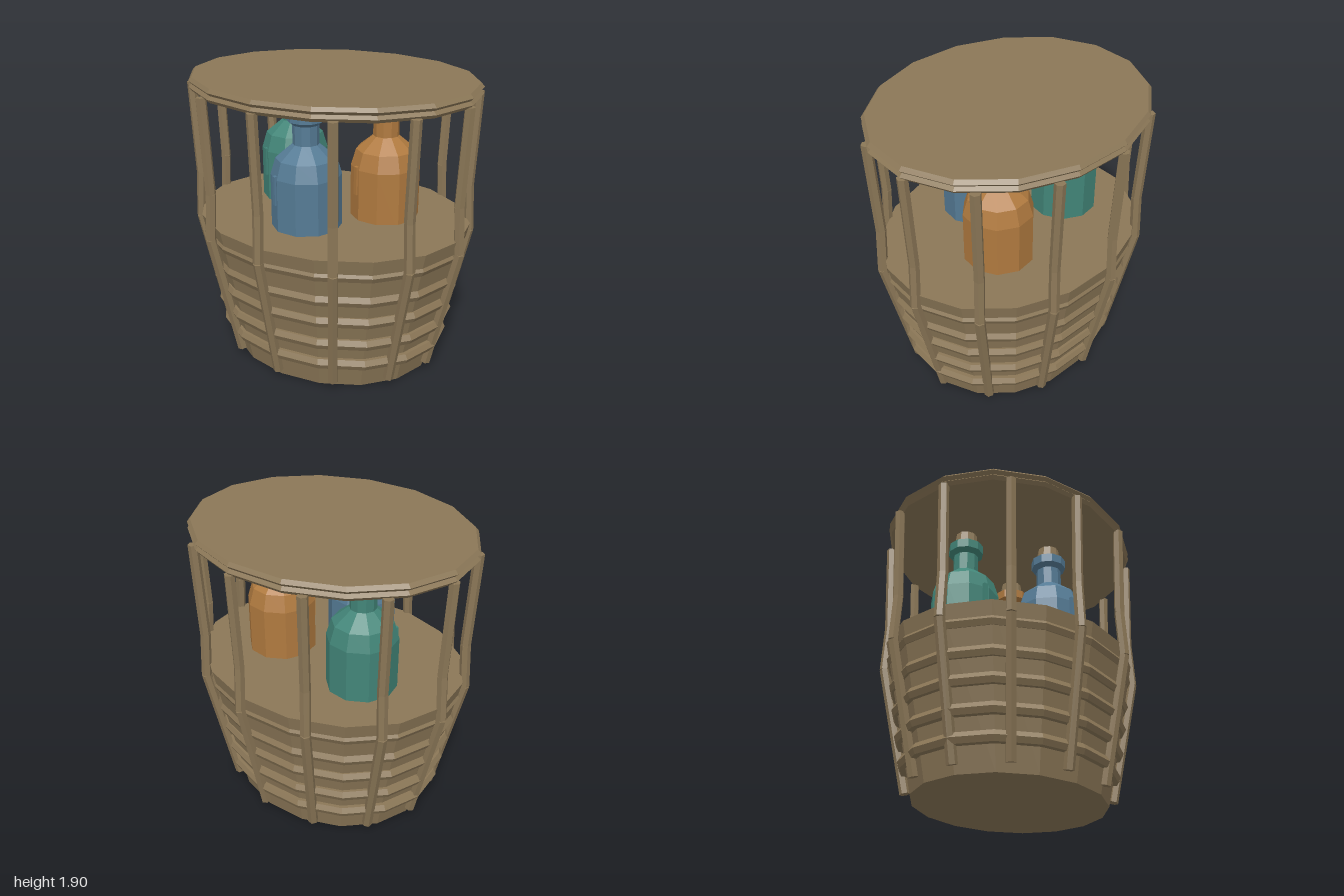
import * as THREE from 'three';

const OVAL = 0.835; // depth of the basket relative to its width

const mat = (name, color) => {
  const m = new THREE.MeshStandardMaterial({ color });
  m.name = name;
  return m;
};

// Faceted mesh: every triangle keeps its own normal
function facet(geometry, material, name) {
  const g = geometry.index ? geometry.toNonIndexed() : geometry;
  g.computeVertexNormals();
  const mesh = new THREE.Mesh(g, material);
  mesh.name = name;
  return mesh;
}

// Turned shape with corners on the x axis, optionally squeezed in z
function turned(points, sides, depth = 1) {
  const g = new THREE.LatheGeometry(points.map(([r, y]) => new THREE.Vector2(r, y)), sides);
  return g.rotateY(Math.PI / 2).scale(1, 1, depth);
}

// Six-sided stick between two points
function stick(a, b, angle, material, name) {
  const dir = b.clone().sub(a);
  const g = new THREE.CylinderGeometry(0.034, 0.034, dir.length(), 6);
  g.rotateY(angle);
  g.applyQuaternion(new THREE.Quaternion().setFromUnitVectors(new THREE.Vector3(0, 1, 0), dir.normalize()));
  const mid = a.clone().add(b).multiplyScalar(0.5);
  return facet(g.translate(mid.x, mid.y, mid.z), material, name);
}

function makeBottle(glass, cork) {
  const bottle = new THREE.Group();
  bottle.add(facet(turned([
    [0, 0.93], [0.228, 0.93], [0.228, 1.32], [0.195, 1.43], [0.085, 1.52], [0.085, 1.645],
    [0.118, 1.67], [0.118, 1.73], [0, 1.73],
  ], 10), glass, 'bottleGlass'));
  bottle.add(facet(turned([[0, 1.7], [0.086, 1.7], [0.068, 1.85], [0, 1.85]], 10), cork, 'cork'));
  // Raised strip on the front of the glass
  const strip = facet(new THREE.BoxGeometry(0.03, 0.19, 0.025), glass, 'glassStrip');
  strip.position.set(-0.095, 1.245, 0.202);
  strip.rotation.y = -0.44;
  bottle.add(strip);
  return bottle;
}

export function createModel() {
  const model = new THREE.Group();
  model.name = 'bottleBasket';
  const wicker = mat('wicker brown', 0x8b7757);
  const blue = mat('blue glass', 0x557b95);
  const teal = mat('teal glass', 0x428578);
  const orange = mat('orange glass', 0xb07a3f);

  // Basket body, closed at top and bottom
  model.add(facet(turned([[0, 0], [0.725, 0], [0.95, 0.975], [0, 0.975]], 16, OVAL), wicker, 'basketBody'));

  // Horizontal hoops around the body
  [[0.783, 0.19], [0.814, 0.35], [0.843, 0.52], [0.87, 0.68], [0.9, 0.86]].forEach(([r, y]) => {
    const ring = [];
    for (let i = 0; i <= 6; i++) {
      const t = (i / 6) * Math.PI * 2;
      ring.push([r + 0.04 * Math.cos(t), y + 0.04 * Math.sin(t)]);
    }
    model.add(facet(turned(ring, 16, OVAL), wicker, 'hoop'));
  });

  // Lid with a double-ridged rim
  model.add(facet(turned([
    [0, 1.82], [0.965, 1.82], [0.985, 1.842], [0.963, 1.862], [0.985, 1.882], [0.963, 1.905], [0, 1.905],
  ], 16, 0.843), wicker, 'lid'));

  // Twelve upright stakes, bent at the basket rim and at mid height
  const path = [[0.753, 0.05], [0.953, 0.89], [0.936, 1.2], [0.965, 1.83]];
  for (let i = 0; i < 12; i++) {
    const a = (i / 12) * Math.PI * 2;
    const pts = path.map(([r, y]) => new THREE.Vector3(r * Math.sin(a), y, r * 0.845 * Math.cos(a)));
    const stake = new THREE.Group();
    stake.name = 'stake';
    for (let k = 0; k < 3; k++) stake.add(stick(pts[k], pts[k + 1], a, wicker, 'stakePiece'));
    model.add(stake);
  }

  // Three corked bottles
  [['blueBottle', blue, 0, 0.295], ['tealBottle', teal, -0.412, -0.14], ['orangeBottle', orange, 0.32, -0.15]]
    .forEach(([name, glass, x, z]) => {
      const bottle = makeBottle(glass, wicker);
      bottle.name = name;
      bottle.position.set(x, 0, z);
      model.add(bottle);
    });

  return model;
}
